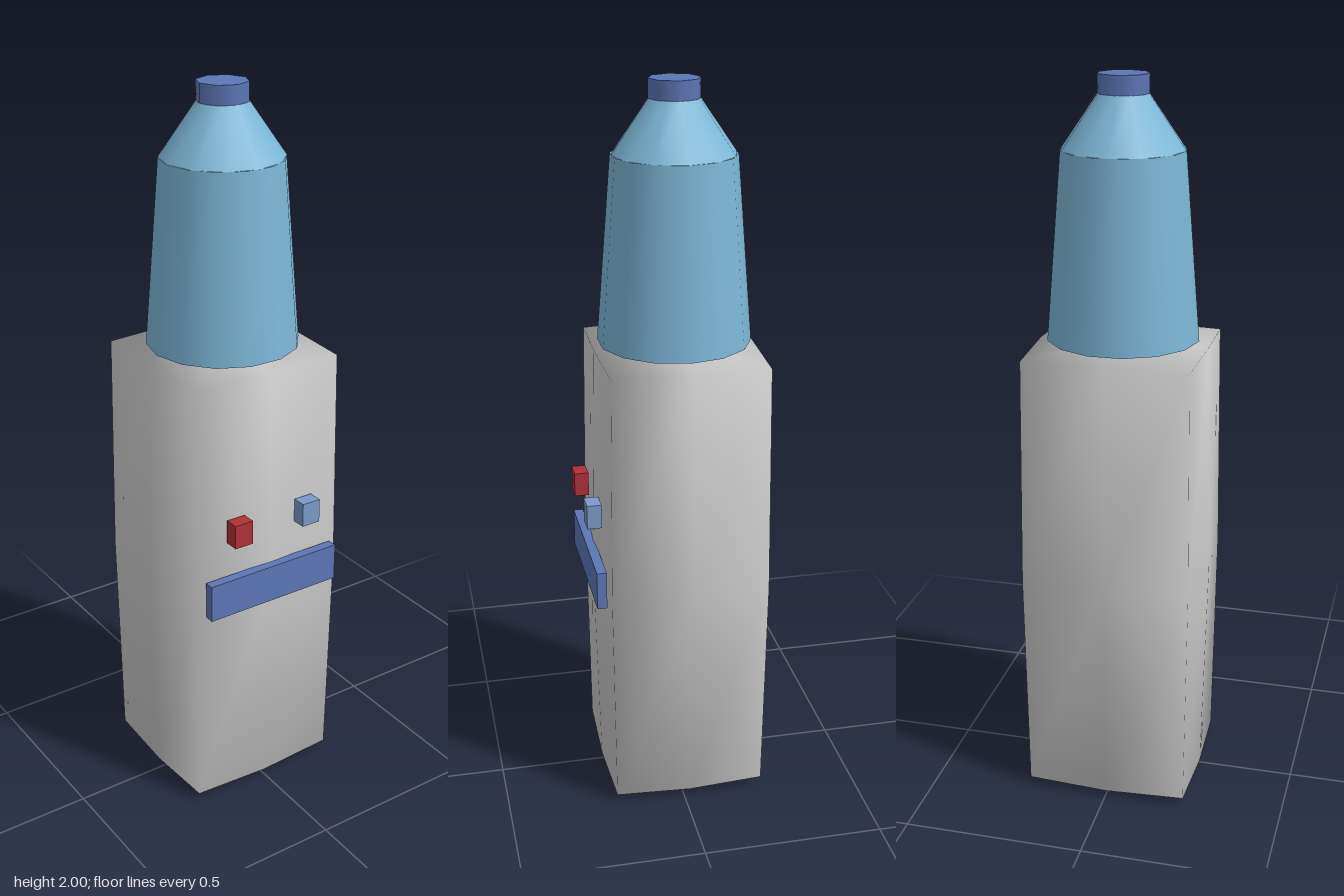
import * as THREE from 'three';
import { mergeVertices } from 'three/addons/utils/BufferGeometryUtils.js';

const AXIS_Z = -0.018; // the body and bottle top share this centre line

function addPart(group, name, geometry, color, x, y, z) {
  const mesh = new THREE.Mesh(geometry, new THREE.MeshStandardMaterial({ color }));
  mesh.name = name;
  mesh.position.set(x, y, z);
  group.add(mesh);
  return mesh;
}

// Box with bulging faces: face centres stand out furthest, corners least.
function bulgedBox() {
  const geo = new THREE.BoxGeometry(2, 2, 2, 2, 2, 2);
  geo.deleteAttribute('normal');
  geo.deleteAttribute('uv');
  const box = mergeVertices(geo);
  // half sizes at [face centre, edge middle, corner]
  const hx = [0.247, 0.232, 0.225], hy = [0.655, 0.637, 0.631], hz = [0.234, 0.219, 0.212];
  const p = box.attributes.position;
  for (let i = 0; i < p.count; i++) {
    const x = p.getX(i), y = p.getY(i), z = p.getZ(i);
    const k = Math.abs(x) + Math.abs(y) + Math.abs(z) - 1;
    p.setXYZ(i, x * hx[k], y * hy[k], z * hz[k]);
  }
  box.computeVertexNormals();
  return box;
}

export function createModel() {
  const model = new THREE.Group();
  model.name = 'bottleFigure';

  addPart(model, 'body', bulgedBox(), 0xcccccc, 0, 0.655, AXIS_Z);

  // Tapered neck, shoulder and cap
  const neck = new THREE.CylinderGeometry(0.166, 0.207, 0.5, 14).rotateY(Math.PI / 2);
  addPart(model, 'neck', neck, 0x7cb6d6, 0, 1.56, AXIS_Z);
  const shoulder = new THREE.CylinderGeometry(0.068, 0.165, 0.14, 12);
  addPart(model, 'shoulder', shoulder, 0x7cb6d6, 0, 1.88, AXIS_Z);
  addPart(model, 'cap', new THREE.CylinderGeometry(0.069, 0.069, 0.05, 8), 0x5c76b6, 0, 1.975, AXIS_Z);

  // Face pieces on the front
  addPart(model, 'mouthBar', new THREE.BoxGeometry(0.414, 0.107, 0.027), 0x5c76b6, 0, 0.678, 0.224);
  const eye = new THREE.BoxGeometry(0.056, 0.068, 0.04);
  addPart(model, 'rightEye', eye, 0xb03038, -0.111, 0.867, 0.23);
  addPart(model, 'leftEye', eye, 0x7a9ac8, 0.11, 0.867, 0.23);

  return model;
}
